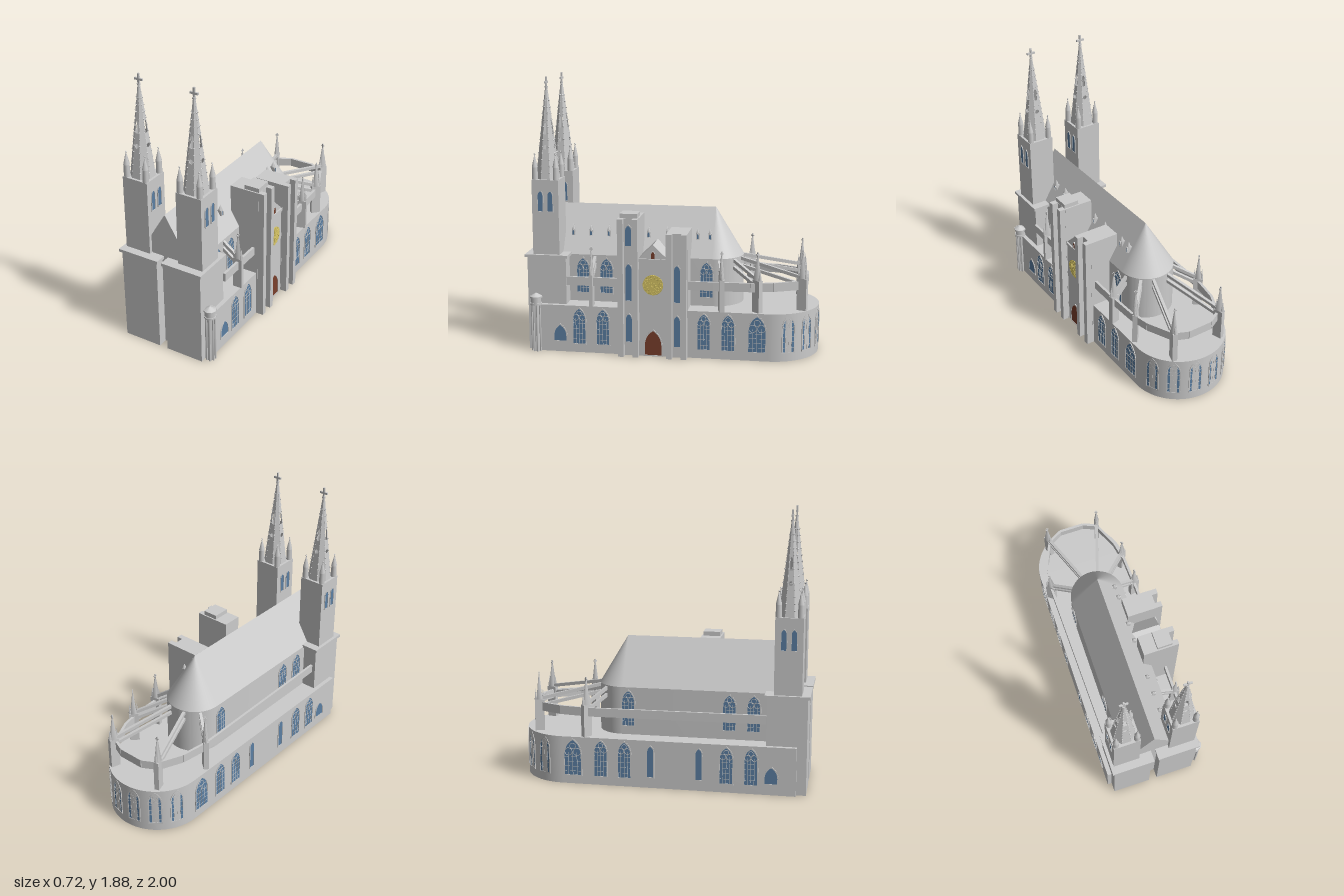
import * as THREE from 'three';
import { mergeGeometries, toCreasedNormals } from 'three/addons/utils/BufferGeometryUtils.js';

const mat = (color, side = THREE.FrontSide) => new THREE.MeshStandardMaterial({ color, side });
const stone = mat(0xcccccc), glass = mat(0x5b7fa3), wood = mat(0x7a3f2b), gold = mat(0xd9c766);
const CX = -0.03; // axis of the nave

export function createModel() {
  const root = new THREE.Group();

  const add = (name, geo, m = stone, parent = root) => {
    const mesh = new THREE.Mesh(geo, m);
    mesh.name = name;
    parent.add(mesh);
    return mesh;
  };
  // box given by its limits
  const block = (name, x0, x1, y0, y1, z0, z1, parent = root, m = stone) => {
    const b = add(name, new THREE.BoxGeometry(x1 - x0, y1 - y0, z1 - z0), m, parent);
    b.position.set((x0 + x1) / 2, (y0 + y1) / 2, (z0 + z1) / 2);
    return b;
  };
  // bar between two points
  const beam = (name, p, q, w, h) => {
    const b = add(name, new THREE.BoxGeometry(w, h, p.distanceTo(q)));
    b.position.copy(p).lerp(q, 0.5);
    b.lookAt(q);
    return b;
  };
  const group = (name, x, y, z, ry = 0, parent = root) => {
    const g = new THREE.Group();
    g.name = name;
    g.position.set(x, y, z);
    g.rotation.y = ry;
    parent.add(g);
    return g;
  };

  // pointed arch outline standing on y = y0
  const arch = (w, h, y0 = 0, C = THREE.Shape) => {
    const s = new C(), a = w / 2, spring = Math.max(h - w * 0.9, h * 0.35);
    s.moveTo(-a, y0);
    s.lineTo(a, y0);
    s.lineTo(a, y0 + spring);
    s.quadraticCurveTo(a * 0.95, y0 + h - w * 0.3, 0, y0 + h);
    s.quadraticCurveTo(-a * 0.95, y0 + h - w * 0.3, -a, y0 + spring);
    s.closePath();
    return s;
  };
  const extrude = (s, depth, curveSegments = 8) =>
    new THREE.ExtrudeGeometry(s, { depth, bevelEnabled: false, curveSegments });

  // window or door facing +z of its group
  const opening = (name, x, y, z, ry, w, h, m = glass, tracery = false) => {
    const g = group(name, x, y, z, ry);
    const f = Math.min(0.008, w * 0.12);
    add('pane', extrude(arch(w - f, h - f), 0.006), m, g).position.z = -0.004;
    const rim = arch(w, h);
    rim.holes.push(arch(w - 2 * f, h - 2.4 * f, f, THREE.Path));
    add('frame', extrude(rim, 0.009), stone, g).position.z = -0.004;
    if (!tracery) return;
    const top = h - w * 0.75;
    for (const k of [-1, 0, 1]) block('mullion', k * w * 0.23 - 0.0015, k * w * 0.23 + 0.0015, 0, top, 0, 0.004, g);
    for (let i = 1; i < 5; i++) block('glazingBar', -w / 2, w / 2, i * top / 5, i * top / 5 + 0.002, 0, 0.003, g);
    for (const [px, py, r] of [[-0.23, 0.02, 0.2], [0.23, 0.02, 0.2], [0, 0.33, 0.16]])
      add('traceryRing', new THREE.TorusGeometry(r * w, 0.002, 4, 16), stone, g).position.set(px * w, top + py * w, 0.002);
  };

  // long hall ending in a round apse
  const hall = (name, half, zFront, zApse, h) => {
    const s = new THREE.Shape();
    s.moveTo(CX - half, -zFront);
    s.lineTo(CX + half, -zFront);
    s.lineTo(CX + half, -zApse);
    s.absarc(CX, -zApse, half, 0, Math.PI, false);
    s.closePath();
    add(name, toCreasedNormals(extrude(s, h, 32).rotateX(-Math.PI / 2), 0.4));
  };
  hall('aisle', 0.33, 0.92, -0.67, 0.33);
  hall('nave', 0.195, 0.92, -0.28, 0.66);

  // nave roof with a half cone over the apse
  const prism = (half, h, len) => extrude(new THREE.Shape([
    new THREE.Vector2(-half, 0), new THREE.Vector2(half, 0), new THREE.Vector2(0, h)]), len);
  add('naveRoof', prism(0.195, 0.325, 1.2)).position.set(CX, 0.66, -0.28);
  add('apseRoof', new THREE.ConeGeometry(0.195, 0.325, 40, 1, true, Math.PI / 2, Math.PI), mat(0xcccccc, THREE.DoubleSide))
    .position.set(CX, 0.8225, -0.28);

  // dormers
  for (const z of [0.7, 0.575, 0.45, 0.17, 0.04, -0.17, -0.255]) {
    block('dormer', 0.05, 0.1, 0.78, 0.82, z - 0.011, z + 0.011);
    const cap = add('dormerRoof', new THREE.ConeGeometry(0.016, 0.042, 4));
    cap.position.set(0.087, 0.841, z);
    cap.rotation.y = Math.PI / 4;
    opening('dormerWindow', 0.101, 0.782, z, Math.PI / 2, 0.016, 0.038);
  }

  // windows of both long walls
  for (const s of [1, -1]) {
    const ry = s * Math.PI / 2, xa = CX + s * 0.33, xn = CX + s * 0.195;
    for (const z of [0.62, 0.455, -0.24, -0.405, -0.6])
      opening('aisleWindow', xa, 0.055, z, ry, z === -0.6 ? 0.13 : 0.1, 0.265, glass, true);
    for (const z of [0.62, 0.455, -0.24]) opening('clerestoryWindow', xn, 0.385, z, ry, 0.1, 0.26, glass, true);
    opening('sideWindow', xa, 0.07, 0.755, ry, 0.1, 0.13);
  }
  for (const z of [0.27, -0.06]) opening('narrowWindow', CX - 0.33, 0.07, z, -Math.PI / 2, 0.055, 0.23);
  // apse windows
  for (const d of [25, 51, 77, 103, 129, 155]) {
    const a = d * Math.PI / 180;
    opening('apseWindow', CX + 0.327 * Math.cos(a), 0.055, -0.67 - 0.327 * Math.sin(a), Math.PI / 2 + a, 0.095, 0.265, glass, true);
  }

  // front towers
  for (const s of [-1, 1]) {
    const bx = CX + s * 0.165, tx = CX + s * 0.2, tz = 0.852;
    block('towerBase', bx - 0.135, bx + 0.135, 0, 0.655, 0.715, 0.985);
    block('towerCornice', bx - 0.15, bx + 0.15, 0.655, 0.675, 0.7, 1.0);
    block('tower', tx - 0.0925, tx + 0.0925, 0.675, 1.19, tz - 0.0925, tz + 0.0925);
    for (const f of [-1, 1]) for (const dz of [-0.034, 0.034])
      opening('belfryWindow', tx + f * 0.0925, 0.97, tz + dz, f * Math.PI / 2, 0.044, 0.15);
    spire(tx, tz);
  }

  // hollow eight-sided spire with corner pinnacles
  function spire(x, z) {
    const g = group('spire', x, 1.19, z);
    const r0 = 0.076, r1 = 0.007, H = 0.62, t = Math.tan(Math.PI / 8), tilt = Math.atan((r0 - r1) / H);
    for (let k = 0; k < 8; k++) {
      const face = new THREE.Shape([[-r0, 0], [r0, 0], [r1, H], [-r1, H]].map(([a, b]) => new THREE.Vector2(a * t, b)));
      if (k % 2 === 0) {
        face.holes.push(new THREE.Path().absarc(0, 0.22, 0.015, 0, Math.PI * 2, true));
        face.holes.push(arch(0.021, 0.085, 0.305, THREE.Path));
      }
      add('spireFace', extrude(face, 0.004).translate(0, 0, -0.004).rotateX(-tilt).translate(0, 0, r0)
        .rotateY(k * Math.PI / 4), stone, g);
    }
    // crockets along the ribs
    const knobs = [];
    for (let k = 0; k < 8; k++) for (let i = 1; i < 13; i++) {
      const f = i / 14, r = (r0 + (r1 - r0) * f) / Math.cos(Math.PI / 8), a = (k + 0.5) * Math.PI / 4;
      knobs.push(new THREE.OctahedronGeometry(0.006).translate(r * Math.sin(a), H * f, r * Math.cos(a)));
    }
    add('crockets', mergeGeometries(knobs), stone, g);
    for (const sx of [-1, 1]) for (const sz of [-1, 1]) {
      const p = group('cornerPinnacle', sx * 0.072, 0, sz * 0.072, 0, g);
      add('shaft', new THREE.CylinderGeometry(0.019, 0.021, 0.085, 8), stone, p).position.y = 0.0425;
      add('cap', new THREE.ConeGeometry(0.021, 0.09, 8), stone, p).position.y = 0.13;
      add('finial', new THREE.OctahedronGeometry(0.008), stone, p).position.y = 0.172;
    }
    add('collar', new THREE.CylinderGeometry(0.012, 0.012, 0.01, 8), stone, g).position.y = 0.62;
    block('crossPost', -0.006, 0.006, 0.61, 0.69, -0.006, 0.006, g);
    block('crossArm', -0.029, 0.029, 0.645, 0.659, -0.006, 0.006, g);
  }

  // side transept: two buttressed stair towers
  const stair = (z, top, wins) => {
    block('stairTower', 0.1, 0.312, 0, top, z - 0.07, z + 0.07);
    for (const d of [-0.05, 0.05]) block('stairButtress', 0.3, 0.355, 0, top, z + d - 0.019, z + d + 0.019);
    for (const [y0, y1] of wins) opening('stairWindow', 0.312, y0, z, Math.PI / 2, 0.055, y1 - y0);
  };
  stair(0.27, 0.955, [[0.09, 0.3], [0.38, 0.65], [0.76, 0.915]]);
  block('stairTowerCap', 0.2, 0.31, 0.955, 0.985, 0.21, 0.33);
  stair(-0.06, 0.86, [[0.07, 0.3], [0.38, 0.65]]);

  // transept front with door, rose window and gable
  block('transeptWall', 0.1, 0.305, 0, 0.67, 0, 0.21);
  block('transeptCornice', 0.1, 0.312, 0.66, 0.68, 0.005, 0.205);
  const gable = add('transeptGable', prism(0.1, 0.095, 0.2));
  gable.rotation.y = Math.PI / 2;
  gable.position.set(0.1, 0.68, 0.105);
  opening('gableNiche', 0.303, 0.675, 0.105, Math.PI / 2, 0.03, 0.06, wood);
  opening('door', 0.306, 0, 0.105, Math.PI / 2, 0.13, 0.19, wood);
  const rose = group('roseWindow', 0.305, 0.5, 0.105, Math.PI / 2);
  add('roseDisc', new THREE.CylinderGeometry(0.07, 0.07, 0.008, 36).rotateX(Math.PI / 2), gold, rose);
  add('roseHub', new THREE.TorusGeometry(0.014, 0.003, 6, 20), gold, rose).position.z = 0.004;
  for (let i = 0; i < 12; i++) {
    const a = i * Math.PI / 6;
    const spoke = block('roseSpoke', 0.014, 0.05, -0.0015, 0.0015, 0.003, 0.007, group('rosePetal', 0, 0, 0, 0, rose), gold);
    spoke.parent.rotation.z = a;
    add('petalRing', new THREE.TorusGeometry(0.013, 0.002, 5, 14), gold, spoke.parent).position.set(0.054, 0, 0.004);
  }

  // raised wall running around the aisle roof
  const ring = [[-0.3, 0.71], [-0.32, -0.5], [-0.29, -0.7], [-0.22, -0.86], [-0.12, -0.915], [0.06, -0.915],
    [0.155, -0.875], [0.235, -0.7], [0.265, -0.55], [0.275, -0.3], [0.275, 0.71]]
    .map(([x, z]) => new THREE.Vector3(x, 0.5, z));
  for (let i = 1; i < ring.length; i++) beam('ringWall', ring[i - 1], ring[i], 0.018, 0.06);

  // piers with pinnacles, and flying buttresses to the nave
  for (const [x, z] of [[-0.32, -0.51], [-0.225, -0.87], [0.16, -0.89], [0.26, -0.595], [0.275, -0.355], [0.275, 0.535]]) {
    const foot = new THREE.Vector3(CX, 0, Math.max(z, -0.28));
    const dir = new THREE.Vector3(x, 0, z).sub(foot).normalize();
    const p = group('pier', x, 0.33, z, Math.atan2(dir.x, dir.z));
    const slim = z > 0 ? 0.7 : 1;
    block('pierShaft', -0.017 * slim, 0.017 * slim, 0, 0.22, -0.033, 0.033, p);
    const top = add('pierSpire', new THREE.CylinderGeometry(0.004, 0.024, 0.17, 4).rotateY(Math.PI / 4).scale(slim, 1, 1.2), stone, p);
    top.position.y = 0.305;
    for (const d of [-0.025, 0.025]) {
      const c = add('smallPinnacle', new THREE.ConeGeometry(0.012, 0.08, 4).rotateY(Math.PI / 4), stone, p);
      c.position.set(0, 0.26, d);
    }
    block('crossPost', -0.004, 0.004, 0.38, 0.412, -0.004, 0.004, p);
    block('crossArm', -0.012, 0.012, 0.393, 0.401, -0.004, 0.004, p);
    for (const [ya, yb] of [[0.645, 0.555], [0.595, 0.505]]) {
      const inner = foot.clone().addScaledVector(dir, 0.185).setY(ya);
      beam('flyingButtress', inner, new THREE.Vector3(x, yb, z), 0.02, 0.022);
    }
  }

  // small corner turret
  const turret = group('cornerTurret', 0.3, 0, 0.922);
  for (const [r, h, y] of [[0.028, 0.34, 0.17], [0.042, 0.012, 0.335], [0.036, 0.04, 0.36], [0.044, 0.01, 0.383]])
    add('turretDrum', new THREE.CylinderGeometry(r, r, h, 8), stone, turret).position.y = y;
  add('turretRoof', new THREE.ConeGeometry(0.042, 0.025, 8), stone, turret).position.y = 0.4;
  for (let i = 0; i < 8; i++) {
    const a = (i + 0.5) * Math.PI / 4;
    add('turretColumn', new THREE.CylinderGeometry(0.006, 0.006, 0.335, 6), stone, turret)
      .position.set(0.031 * Math.sin(a), 0.1675, 0.031 * Math.cos(a));
  }
  return root;
}
